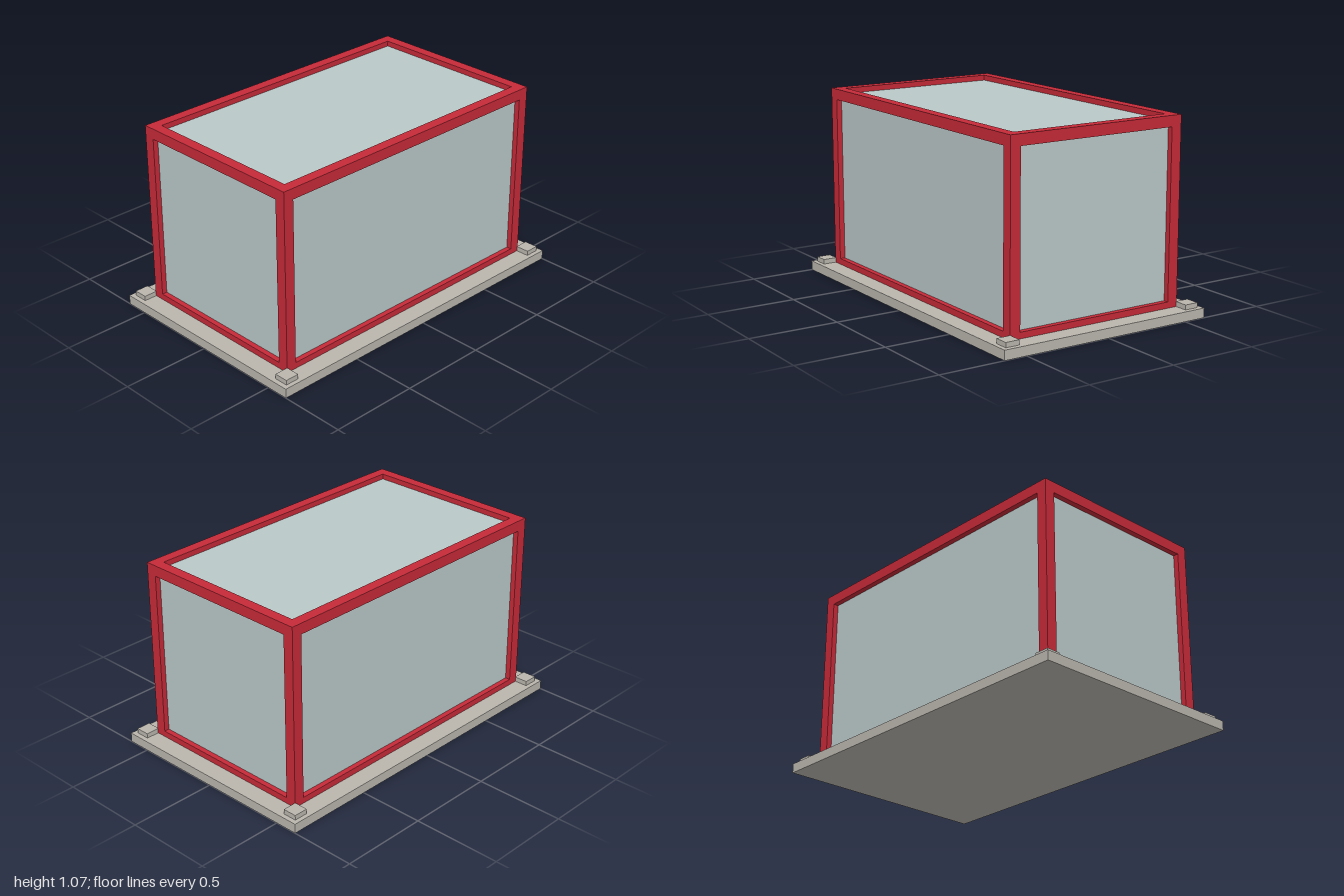
import * as THREE from 'three';

export function createModel() {
  const model = new THREE.Group();
  model.name = 'framedBox';

  const material = (name, color) => {
    const m = new THREE.MeshStandardMaterial({ color });
    m.name = name;
    return m;
  };
  const red = material('red frame', 0xc62a38);
  const glass = material('pale glass', 0xbac8c8);
  const stone = material('grey stone', 0xbab6ae);

  // Box given by its size, centre x and z, and bottom height
  const addBox = (name, mat, [w, h, d], [x, bottom, z]) => {
    const mesh = new THREE.Mesh(new THREE.BoxGeometry(w, h, d), mat);
    mesh.name = name;
    mesh.position.set(x, bottom + h / 2, z);
    model.add(mesh);
  };

  const X = 0.897, Z = 0.528;          // outer half sizes of the frame
  const bar = 0.06, floor = 0.053, top = 1.073;
  const sill = 0.087;                  // top of the lower rails
  const recess = 0.03;                 // depth of the panes behind the frame
  const cx = X - bar / 2, cz = Z - bar / 2;

  // Base slab
  addBox('baseSlab', stone, [2, floor, 1.26], [0, 0, 0]);

  // Corner posts and corner pads
  for (const sx of [-1, 1]) {
    for (const sz of [-1, 1]) {
      addBox('cornerPost', red, [bar, top - floor, bar], [sx * cx, floor, sz * cz]);
      addBox('cornerPad', stone, [0.08, 0.027, 0.08], [sx * 0.933, floor, sz * 0.565]);
    }
  }

  // Upper and lower rails between the posts
  for (const [bottom, h] of [[floor, sill - floor], [top - bar, bar]]) {
    for (const s of [-1, 1]) {
      addBox('longRail', red, [2 * (X - bar), h, bar], [0, bottom, s * cz]);
      addBox('shortRail', red, [bar, h, 2 * (Z - bar)], [s * cx, bottom, 0]);
    }
  }

  // Recessed panes: front and back, both sides, and roof
  const t = 0.008, paneH = top - recess - floor;
  for (const s of [-1, 1]) {
    addBox('longPane', glass, [2 * (X - recess), paneH, t], [0, floor, s * (Z - recess - t / 2)]);
    addBox('sidePane', glass, [t, paneH, 2 * (Z - recess - t)], [s * (X - recess - t / 2), floor, 0]);
  }
  addBox('roofPane', glass, [2 * (X - recess - t), t, 2 * (Z - recess - t)], [0, top - recess - t, 0]);

  return model;
}
